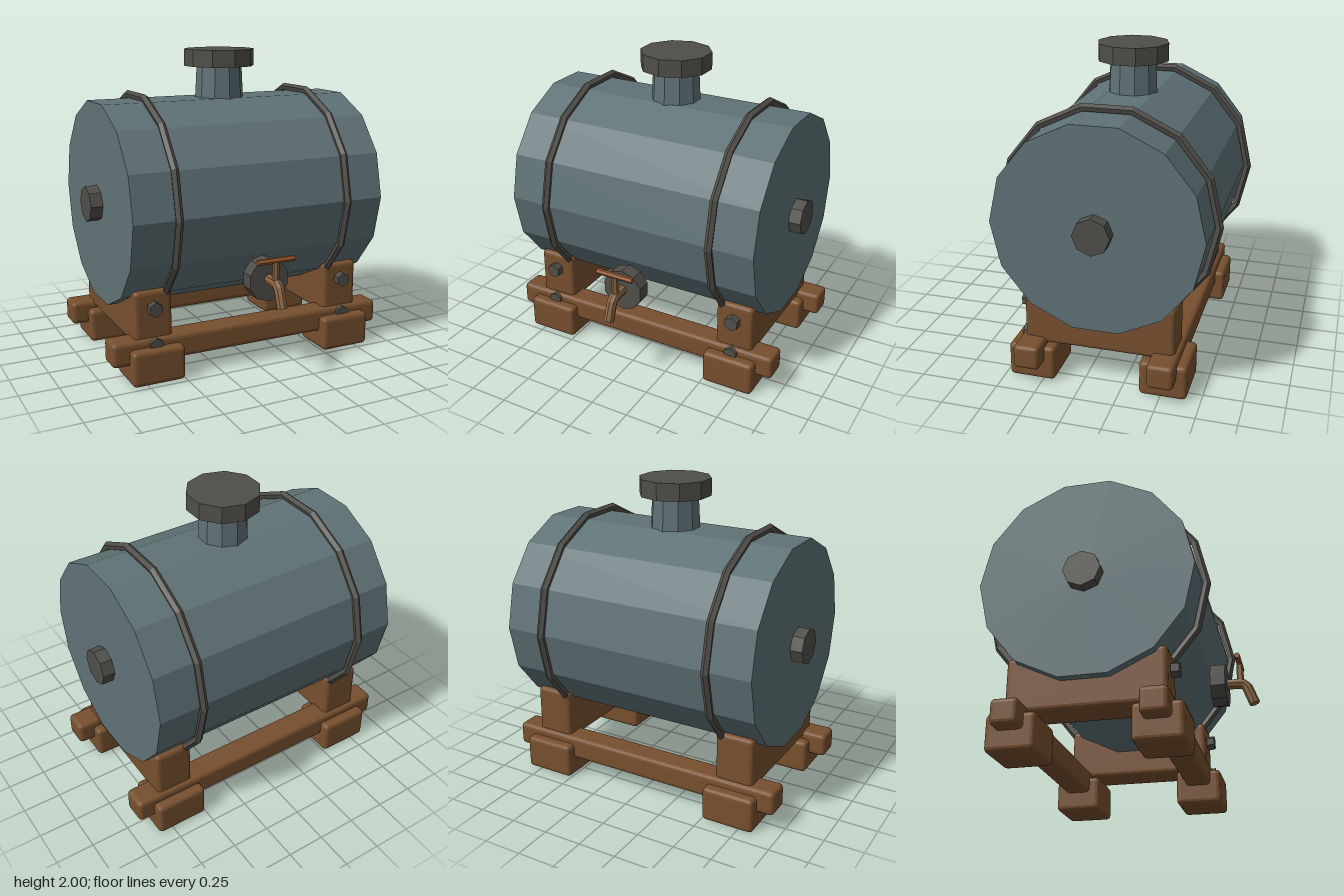
import * as THREE from 'three';
import { RoundedBoxGeometry } from 'three/addons/geometries/RoundedBoxGeometry.js';

const paint = (color, side = THREE.FrontSide) =>
  new THREE.MeshStandardMaterial({ color, flatShading: true, side });

export function createModel() {
  const model = new THREE.Group();
  const tankPaint = paint(0x5f7276), iron = paint(0x504e49), wood = paint(0x774f2e);
  const brass = paint(0x86623f), handlePaint = paint(0x96562c);
  const AXIS_Y = 1.05, AXIS_Z = -0.1;

  function add(name, geometry, material, x, y, z) {
    const mesh = new THREE.Mesh(geometry, material);
    mesh.name = name;
    mesh.position.set(x, y, z);
    model.add(mesh);
    return mesh;
  }
  // Cylinders lying along x, standing along y, or facing along z
  const cylX = (r, len, n) => new THREE.CylinderGeometry(r, r, len, n).rotateZ(Math.PI / 2);
  const cylY = (rTop, rBottom, len, n) => new THREE.CylinderGeometry(rTop, rBottom, len, n);
  const cylZ = (r, len, n) => new THREE.CylinderGeometry(r, r, len, n).rotateX(Math.PI / 2);
  const block = (w, h, d) => new RoundedBoxGeometry(w, h, d, 2, 0.028);

  // Tank with filler neck and lid
  add('tank', cylX(0.655, 1.72, 14), tankPaint, 0, AXIS_Y, AXIS_Z);
  add('fillerNeck', cylY(0.148, 0.161, 0.26, 10), tankPaint, 0, 1.78, AXIS_Z);
  add('fillerLid', cylY(0.23, 0.23, 0.11, 10), iron, 0, 1.945, AXIS_Z);

  for (const s of [-1, 1]) {
    const end = s < 0 ? 'right' : 'left';
    // Hoop and end plug
    add(end + 'Hoop', new THREE.TorusGeometry(0.682, 0.026, 5, 14).rotateY(Math.PI / 2),
      iron, s * 0.583, AXIS_Y, AXIS_Z);
    add(end + 'EndPlug', cylX(0.115, 0.097, 8), iron, s * 0.889, AXIS_Y, AXIS_Z);

    // Saddle, feet and front bolts
    add(end + 'Saddle', block(0.25, 0.34, 0.95), wood, s * 0.675, 0.41, AXIS_Z);
    for (const z of [0.323, -0.515]) {
      add(end + (z > 0 ? 'FrontFoot' : 'BackFoot'), block(0.345, 0.225, 0.298), wood, s * 0.675, 0.1175, z);
    }
    add(end + 'UpperBolt', cylZ(0.048, 0.07, 6), iron, s * 0.675, 0.468, 0.389);
    add(end + 'LowerBolt', cylZ(0.048, 0.07, 6), iron, s * 0.675, 0.237, 0.389);
  }

  // Long rails
  add('frontRail', block(1.91, 0.155, 0.165), wood, 0, 0.202, 0.322);
  add('backRail', block(1.91, 0.155, 0.165), wood, 0, 0.202, -0.518);

  // Tap: flange, bent spout, stem and cross handle
  add('tapFlange', cylZ(0.138, 0.094, 10), iron, 0, 0.62, 0.563);
  const path = new THREE.CurvePath();
  const v = (y, z) => new THREE.Vector3(0, y, z);
  path.add(new THREE.LineCurve3(v(0.625, 0.59), v(0.625, 0.685)));
  path.add(new THREE.QuadraticBezierCurve3(v(0.625, 0.685), v(0.625, 0.728), v(0.58, 0.741)));
  path.add(new THREE.LineCurve3(v(0.58, 0.741), v(0.484, 0.776)));
  add('spout', new THREE.TubeGeometry(path, 9, 0.034, 8), paint(0x86623f, THREE.DoubleSide), 0, 0, 0);
  const mouth = add('spoutEnd', new THREE.CircleGeometry(0.034, 8), brass, 0, 0.484, 0.776);
  mouth.lookAt(0, 0.484 - 0.96, 0.776 + 0.35);
  add('tapStem', cylY(0.02, 0.024, 0.13, 6), brass, 0, 0.695, 0.694);
  add('tapHandle', cylX(0.019, 0.254, 6), handlePaint, 0, 0.768, 0.692);

  return model;
}
